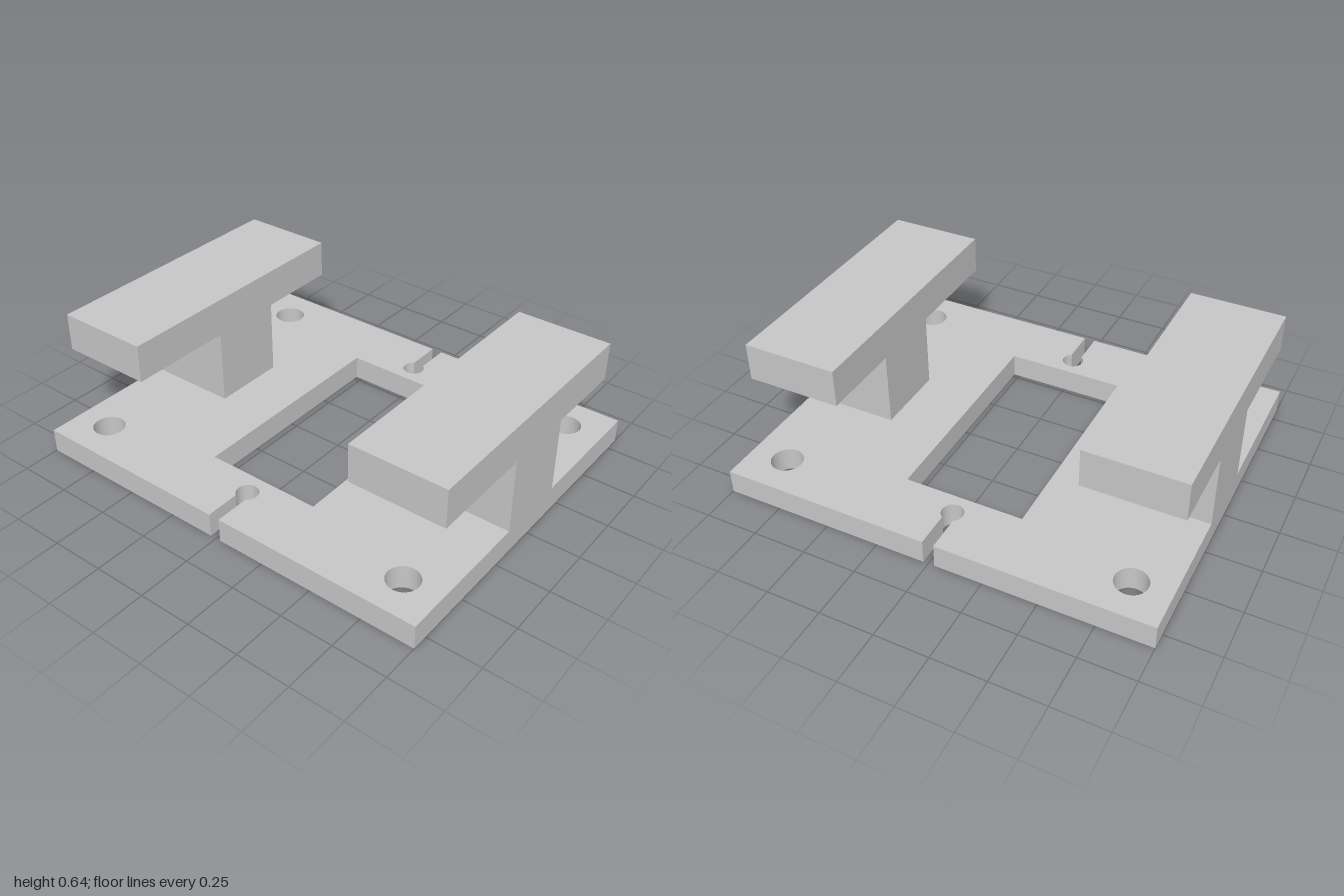
import * as THREE from 'three';
import { toCreasedNormals } from 'three/addons/utils/BufferGeometryUtils.js';

export function createModel() {
  const model = new THREE.Group();
  const grey = new THREE.MeshStandardMaterial({ color: 0xc7c7c7 });
  grey.name = 'lightGrey';

  const W = 0.825, PLATE = 0.113, BAR_BOTTOM = 0.466, TOP = 0.643;

  // Adds a solid extruded from a shape
  const addSolid = (name, shape, depth, place) => {
    const extruded = new THREE.ExtrudeGeometry(shape, { depth, bevelEnabled: false, curveSegments: 32 });
    place(extruded);
    const mesh = new THREE.Mesh(toCreasedNormals(extruded, 0.5), grey);
    mesh.name = name;
    model.add(mesh);
  };

  // Base plate outline in x and z, with a keyhole slot in each side
  const slotZ = -0.003, half = 0.026, r = 0.05, a = Math.asin(half / r);
  const plate = new THREE.Shape();
  plate.moveTo(-W, -1);
  plate.lineTo(W, -1);
  plate.lineTo(W, slotZ - half);
  plate.absarc(0.616, slotZ, r, -a, a, true);
  plate.lineTo(W, slotZ + half);
  plate.lineTo(W, 1);
  plate.lineTo(-W, 1);
  plate.lineTo(-W, slotZ + half);
  plate.absarc(-0.618, slotZ, r, Math.PI - a, Math.PI + a, true);
  plate.lineTo(-W, slotZ - half);
  plate.closePath();

  // Rectangular window
  plate.holes.push(new THREE.Path([
    [-0.521, -0.282], [-0.521, 0.276], [0.52, 0.276], [0.52, -0.282],
  ].map(([x, z]) => new THREE.Vector2(x, z))));

  // Corner screw holes
  for (const x of [-0.646, 0.646]) {
    for (const z of [-0.824, 0.821]) {
      plate.holes.push(new THREE.Path().absarc(x, z, 0.073, 0, Math.PI * 2, true));
    }
  }
  addSolid('basePlate', plate, PLATE, (g) => g.rotateX(Math.PI / 2).translate(0, PLATE, 0));

  // T-shaped supports at the front and back edges
  const tee = new THREE.Shape([
    [-0.157, PLATE], [0.197, PLATE], [0.197, BAR_BOTTOM], [0.588, BAR_BOTTOM],
    [0.588, TOP], [-0.655, TOP], [-0.655, BAR_BOTTOM], [-0.157, BAR_BOTTOM],
  ].map(([x, y]) => new THREE.Vector2(x, y)));
  addSolid('frontSupport', tee, 0.442, (g) => g.translate(0, 0, 0.558));
  addSolid('backSupport', tee, 0.442, (g) => g.translate(0, 0, -1));

  return model;
}
